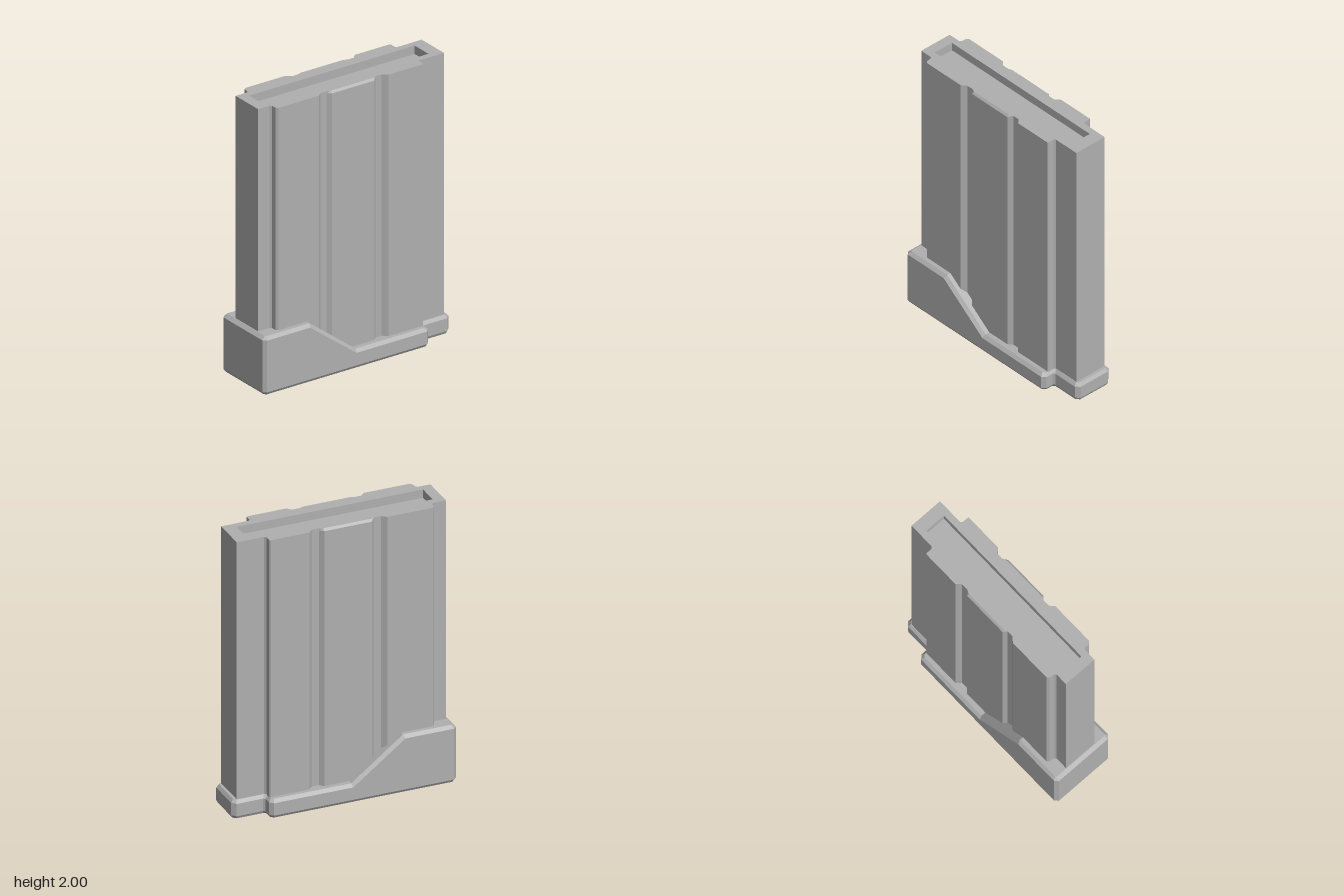
import * as THREE from 'three';

// Mirror a half outline [x, z] (left to right along +z) into a closed ring at height y(x)
function ring(half, y) {
  const h = typeof y === 'function' ? y : () => y;
  const front = half.map(([x, z], i) => [x, h(i), z]);
  return [...front, ...front.map(([x, yy, z]) => [x, yy, -z]).reverse()];
}

// Join rings with flat quads; caps are strips between mirrored points
function loft(rings, capStart, capEnd) {
  const pos = [];
  const quad = (a, b, c, d) => pos.push(...a, ...b, ...c, ...a, ...c, ...d);
  const n = rings[0].length;
  for (let r = 0; r < rings.length - 1; r++) {
    for (let i = 0; i < n; i++) {
      const j = (i + 1) % n;
      quad(rings[r][i], rings[r][j], rings[r + 1][j], rings[r + 1][i]);
    }
  }
  const first = rings[0], last = rings[rings.length - 1];
  for (let i = 0; i < n / 2 - 1; i++) {
    const m = n - 1 - i;
    if (capStart) quad(first[m], first[m - 1], first[i + 1], first[i]);
    if (capEnd) quad(last[i], last[i + 1], last[m - 1], last[m]);
  }
  const geo = new THREE.BufferGeometry();
  geo.setAttribute('position', new THREE.Float32BufferAttribute(pos, 3));
  geo.computeVertexNormals();
  return geo;
}

export function createModel() {
  const model = new THREE.Group();
  model.name = 'boxMagazine';
  const metal = new THREE.MeshStandardMaterial({ color: 0xb0b0b0 });
  metal.name = 'grey';
  const add = (name, geo) => {
    const mesh = new THREE.Mesh(geo, metal);
    mesh.name = name;
    model.add(mesh);
  };

  // Body: ribbed casing with two grooves per side and narrow ends
  const body = [
    [-0.745, 0.125], [-0.655, 0.125], [-0.642, 0.137], [-0.64, 0.172], [-0.625, 0.187],
    [-0.303, 0.187], [-0.27, 0.158], [-0.222, 0.158], [-0.197, 0.182],
    [0.14, 0.182], [0.167, 0.156], [0.217, 0.156], [0.247, 0.187],
    [0.525, 0.187], [0.53, 0.18], [0.53, 0.137], [0.542, 0.125], [0.735, 0.125],
  ];
  // The middle panel rounds in slightly at its top edge
  const lip = body.map(([x, z]) => [x, z === 0.182 ? 0.168 : z]);
  add('casing', loft([ring(body, 0.1), ring(body, 1.985), ring(lip, 2)], true, false));

  // Rim around the opening
  const well = [[-0.672, 0.077], [0.645, 0.077]];
  const toPoints = (half) => ring(half, 0).map(([x, , z]) => new THREE.Vector2(x, z));
  const rim = new THREE.Shape(toPoints(lip));
  rim.holes.push(new THREE.Path(toPoints(well)));
  add('rim', new THREE.ShapeGeometry(rim).rotateX(-Math.PI / 2).translate(0, 2, 0));

  // Recess: rings run downward, so the walls face inward and the floor faces up
  add('recess', loft([ring(well, 2), ring(well, 1.94)], false, true));

  // Floor plate: bevelled, tall at the rear and sloping down to a thin tray
  const outer = [
    [-0.775, 0.215], [-0.753, 0.237], [-0.41, 0.237], [-0.04, 0.237], [0.52, 0.237],
    [0.545, 0.212], [0.545, 0.158], [0.558, 0.147], [0.745, 0.147], [0.772, 0.12],
  ];
  const inner = [
    [-0.75, 0.207], [-0.741, 0.216], [-0.4, 0.216], [-0.035, 0.216], [0.511, 0.216],
    [0.527, 0.2], [0.527, 0.146], [0.545, 0.13], [0.737, 0.13], [0.755, 0.112],
  ];
  const under = outer.map(([x, z], i) => [
    x + (inner[i][0] - x) * 0.6, z + (inner[i][1] - z) * 0.6,
  ]);
  const top = (drop) => (i) => (i < 3 ? 0.412 : 0.132) - drop;
  add('floorPlate', loft([
    ring(under, 0), ring(outer, 0.02), ring(outer, top(0.022)), ring(inner, top(0)),
  ], true, true));

  return model;
}
